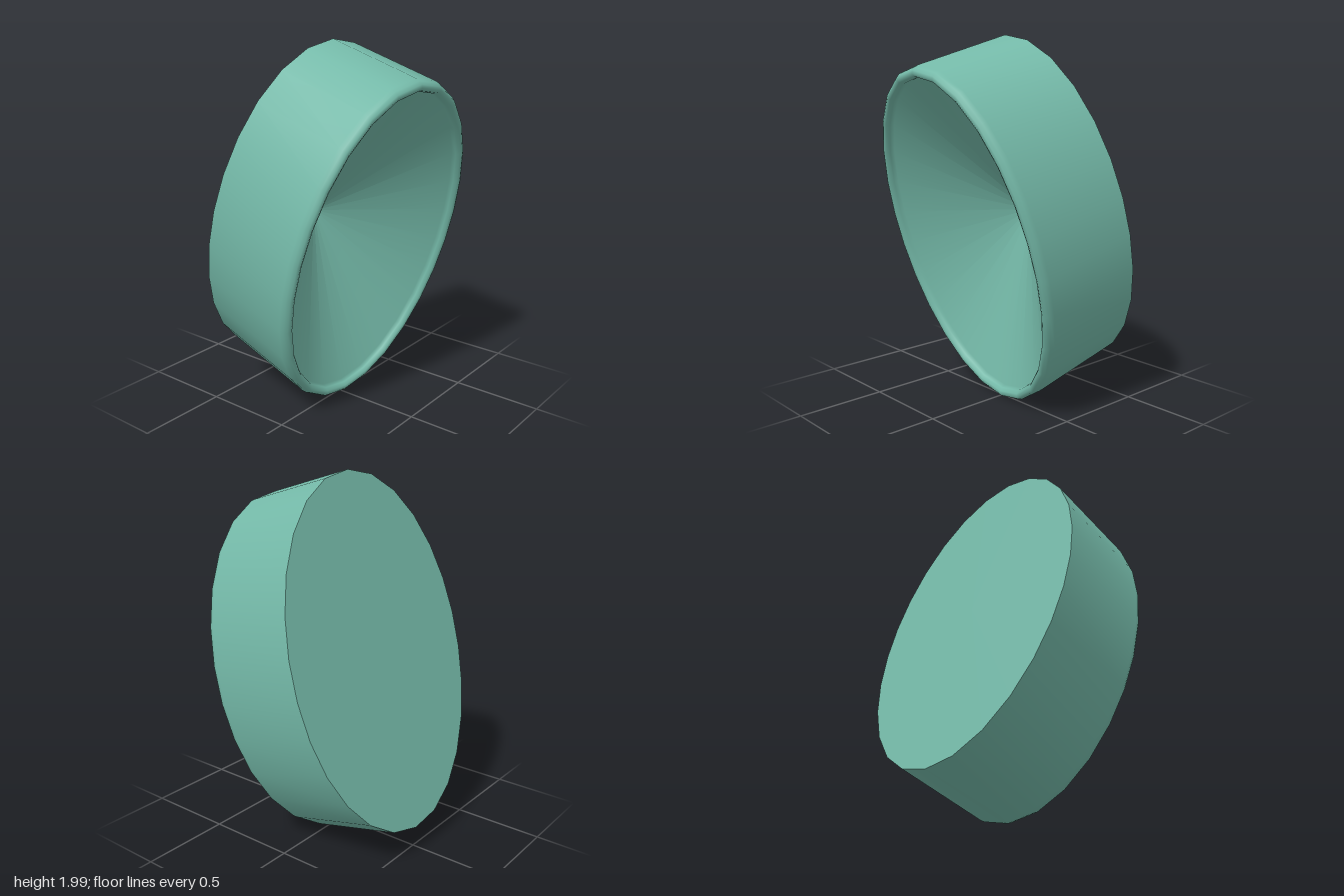
import * as THREE from 'three';

const SEGMENTS = 26;
const HALF_W = 0.65, HALF_H = 0.956, HALF_D = 0.305;

// Joins elliptical rings [halfWidth, halfHeight, z] into a smooth skin
function loft(rings) {
  const pos = [], idx = [];
  for (const [w, h, z] of rings) {
    for (let j = 0; j < SEGMENTS; j++) {
      const t = (j / SEGMENTS) * Math.PI * 2;
      const a = t + 0.06 * Math.sin(2 * t);
      pos.push(w * Math.sin(a), h * Math.cos(a), z);
    }
  }
  for (let i = 0; i < rings.length - 1; i++) {
    for (let j = 0; j < SEGMENTS; j++) {
      const k = (j + 1) % SEGMENTS;
      const a = i * SEGMENTS + j, b = i * SEGMENTS + k;
      const c = a + SEGMENTS, d = b + SEGMENTS;
      idx.push(a, c, b, b, c, d);
    }
  }
  const geo = new THREE.BufferGeometry();
  geo.setAttribute('position', new THREE.Float32BufferAttribute(pos, 3));
  geo.setIndex(idx);
  geo.computeVertexNormals();
  return geo;
}

export function createModel() {
  const cup = new THREE.Group();
  cup.name = 'ovalCup';
  const material = new THREE.MeshStandardMaterial({ color: 0x74b9a8, side: THREE.DoubleSide });
  const add = (name, rings) => {
    const mesh = new THREE.Mesh(loft(rings), material);
    mesh.name = name;
    cup.add(mesh);
  };

  // Straight outer wall, rounded rim, then a funnel running in to a point
  const rimDepth = 0.05, rimRadius = 0.031;
  const shell = [[HALF_W, HALF_H, -HALF_D]];
  for (let i = 0; i <= 6; i++) {
    const a = (i / 6) * Math.PI;
    const inset = rimRadius * (1 - Math.cos(a));
    shell.push([HALF_W - inset, HALF_H - inset, HALF_D - rimDepth * (1 - Math.sin(a))]);
  }
  shell.push([0, 0, -0.2]);

  add('wallRimAndFunnel', shell);
  add('flatBack', [[0, 0, -HALF_D], [HALF_W, HALF_H, -HALF_D]]);

  // Lean the whole cup downward and slightly sideways
  const up = new THREE.Vector3(-0.04, 0.96, 0.275).normalize();
  const front = new THREE.Vector3(-0.075, -0.275, 0.96).normalize();
  const side = up.clone().cross(front).normalize();
  front.crossVectors(side, up);
  cup.quaternion.setFromRotationMatrix(new THREE.Matrix4().makeBasis(side, up, front));
  cup.position.y = 0.998;

  const model = new THREE.Group();
  model.name = 'model';
  model.add(cup);
  return model;
}
